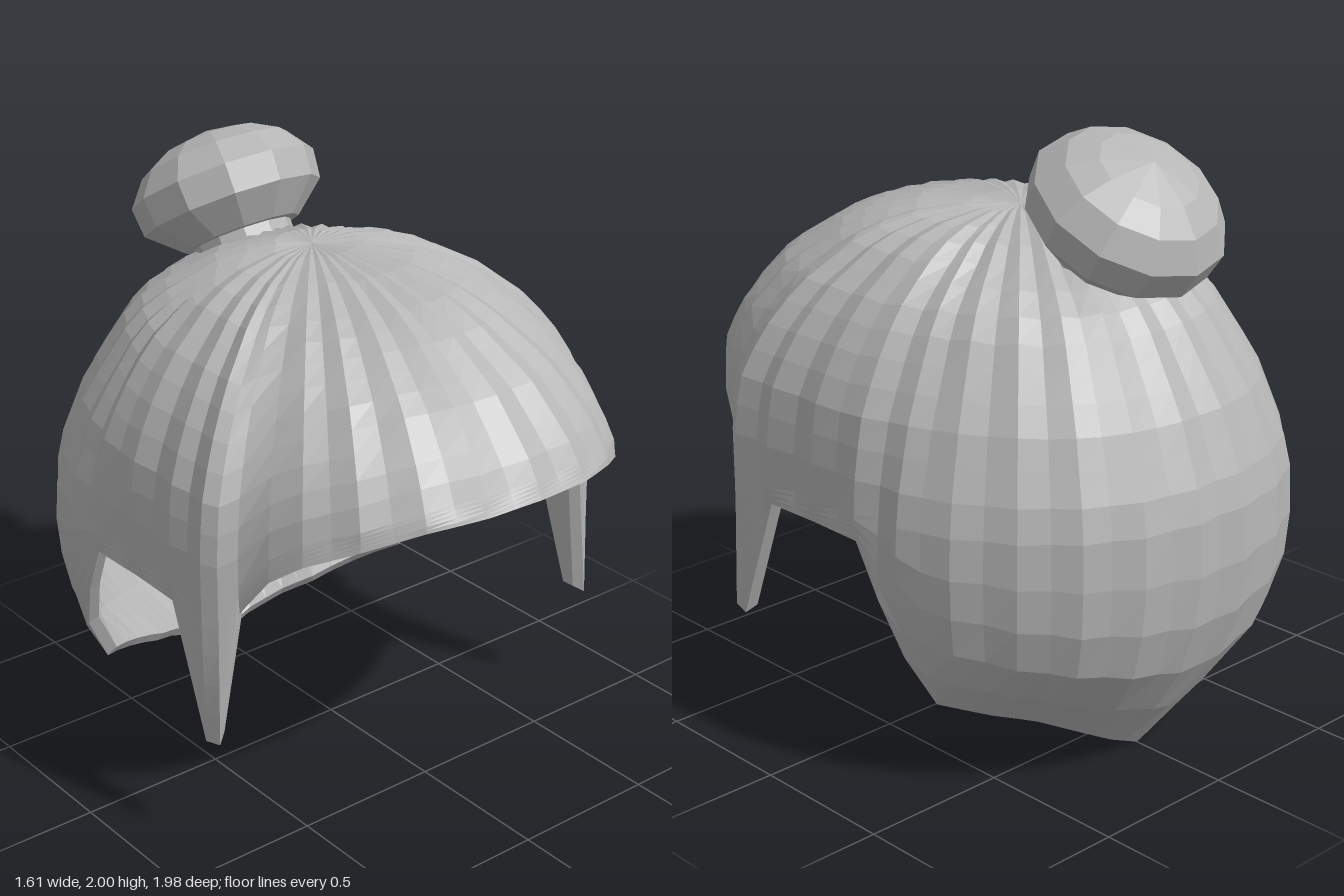
import * as THREE from 'three';

const TOP = 1.72, CENTRE = new THREE.Vector3(0, 0.95, -0.1), ROWS = 18, UPPER_ROWS = 13;

// Half outline of the cap from front to back: widest x, widest z, height of the hem, tuck of the hem
const OUTLINE = [
  [0, 1.035, 1.21, 0], [0.2, 1.015, 1.205, 0], [0.38, 0.93, 1.18, 0], [0.53, 0.8, 1.12, 0],
  [0.63, 0.65, 1.05, 0], [0.68, 0.55, 0.975, 0], [0.715, 0.45, 0.84, 0],
  [0.785, 0.43, 0.39, 0], [0.795, 0.37, 0.38, 0], [0.795, 0.21, 0.81, 0],
  [0.79, 0, 0.81, 0], [0.795, -0.2, 0.81, 0], [0.775, -0.46, 0.28, 0], [0.68, -0.64, 0.22, 0.08],
  [0.55, -0.8, 0.165, 0.15], [0.4, -0.91, 0.12, 0.12], [0.2, -0.98, 0.06, 0.05], [0, -0.995, 0.005, 0],
];

// Profiles: height and share of the widest radius
const SIDE = [[1.72, 0], [1.715, 0.12], [1.7, 0.32], [1.66, 0.47], [1.61, 0.58], [1.48, 0.77],
  [1.33, 0.9], [1.2, 0.97], [1.05, 1], [0, 1]];
const BACK = [[1.72, 0], [1.715, 0.1], [1.7, 0.19], [1.66, 0.34], [1.53, 0.6], [1.45, 0.69],
  [1.21, 0.865], [1, 0.96], [0.84, 1], [0.6, 0.98], [0.42, 0.93], [0.25, 0.82], [0, 0.61]];

function sample(table, y) {
  for (let i = 1; i < table.length; i++) {
    const [y0, f0] = table[i - 1], [y1, f1] = table[i];
    if (y >= y1) return f0 + (f1 - f0) * (y0 - y) / (y0 - y1);
  }
  return table[table.length - 1][1];
}

// Subdivide the half outline into strands, then mirror it into a closed loop
function makeColumns() {
  const half = [];
  for (let i = 0; i < OUTLINE.length - 1; i++) {
    const a = OUTLINE[i], b = OUTLINE[i + 1];
    const n = Math.max(1, Math.round(Math.hypot(b[0] - a[0], b[1] - a[1]) / 0.085));
    for (let k = 0; k < n; k++) half.push(a.map((v, j) => v + (b[j] - v) * k / n));
  }
  half.push([...OUTLINE[OUTLINE.length - 1]]);
  half.forEach((c, i) => c.push(i % 2 ? -1 : 1));
  const mirrored = half.slice(1, -1).reverse().map(([x, ...rest]) => [-x, ...rest]);
  return [...half, ...mirrored];
}

// Upper rows line up around the head; the last rows reach down to the hem
function rowHeight(hem, row) {
  const reach = (TOP - Math.max(hem, 0.81)) * 0.9;
  if (row <= UPPER_ROWS) return TOP - reach * Math.pow(row / UPPER_ROWS, 1.7);
  return THREE.MathUtils.lerp(TOP - reach, hem, (row - UPPER_ROWS) / (ROWS - UPPER_ROWS));
}

// Point on the cap; ridges push alternate strands in and out and fade at the hem
function capPoint([x, z, hem, tuck, sign], row, inner) {
  const t = row / ROWS, y = rowHeight(hem, row);
  const dz = z - CENTRE.z;
  const back = THREE.MathUtils.clamp(-2.4 * dz / Math.hypot(x, dz), 0, 1);
  const low = THREE.MathUtils.clamp((0.55 - y) / (0.55 - Math.min(hem, 0.5)), 0, 1);
  const f = THREE.MathUtils.lerp(sample(SIDE, y), sample(BACK, y), back) * (1 - tuck * low * low);
  const p = new THREE.Vector3(x * f, y, CENTRE.z + dz * f).sub(CENTRE);
  const fringe = z > 0.5 ? 1 - 0.85 * t : 1;
  const ridge = 0.011 * Math.min(1, t * 5, (1 - t) * 5) * fringe;
  p.multiplyScalar(inner ? 0.957 : 1 + sign * ridge);
  if (row === 0) p.y -= 0.015;
  return p.add(CENTRE);
}

function makeCap() {
  const cols = makeColumns(), n = cols.length, pos = [];
  const tri = (...points) => points.forEach((p) => pos.push(p.x, p.y, p.z));
  const grid = (inner) => cols.map((c) =>
    Array.from({ length: ROWS + 1 }, (_, r) => capPoint(c, r, inner)));
  const outer = grid(false), lining = grid(true);
  for (let c = 0; c < n; c++) {
    const d = (c + 1) % n;
    for (let r = 0; r < ROWS; r++) {
      // Outer hair
      if (r > 0) tri(outer[c][r], outer[c][r + 1], outer[d][r]);
      tri(outer[c][r + 1], outer[d][r + 1], outer[d][r]);
      // Lining
      if (r > 0) tri(lining[c][r], lining[d][r], lining[c][r + 1]);
      tri(lining[c][r + 1], lining[d][r], lining[d][r + 1]);
    }
    // Hem
    tri(outer[c][ROWS], lining[c][ROWS], outer[d][ROWS]);
    tri(outer[d][ROWS], lining[c][ROWS], lining[d][ROWS]);
  }
  const geometry = new THREE.BufferGeometry();
  geometry.setAttribute('position', new THREE.Float32BufferAttribute(pos, 3));
  geometry.computeVertexNormals();
  return geometry;
}

// Flattened faceted bun with a tapered underside
function makeBun() {
  const profile = [[0, -0.17], [0.2, -0.165], [0.31, -0.07], [0.32, 0.03],
    [0.255, 0.115], [0.165, 0.165], [0, 0.2]].map(([r, y]) => new THREE.Vector2(r, y));
  return new THREE.LatheGeometry(profile, 12);
}

export function createModel() {
  const group = new THREE.Group();
  group.name = 'hair';
  const hairGrey = new THREE.MeshStandardMaterial({ color: 0xb6b6b6, flatShading: true });
  hairGrey.name = 'hairGrey';

  const cap = new THREE.Mesh(makeCap(), hairGrey);
  cap.name = 'hairCap';

  const bun = new THREE.Mesh(makeBun(), hairGrey);
  bun.name = 'bun';
  bun.position.set(0, 1.77, -0.56);
  bun.rotation.x = -0.56;

  // Short neck tying the bun to the cap
  const tie = new THREE.Mesh(new THREE.CylinderGeometry(0.17, 0.17, 0.1, 12), hairGrey);
  tie.name = 'bunBase';
  tie.position.set(0, 1.6, -0.455);
  tie.rotation.x = -0.56;

  group.add(cap, bun, tie);
  return group;
}
